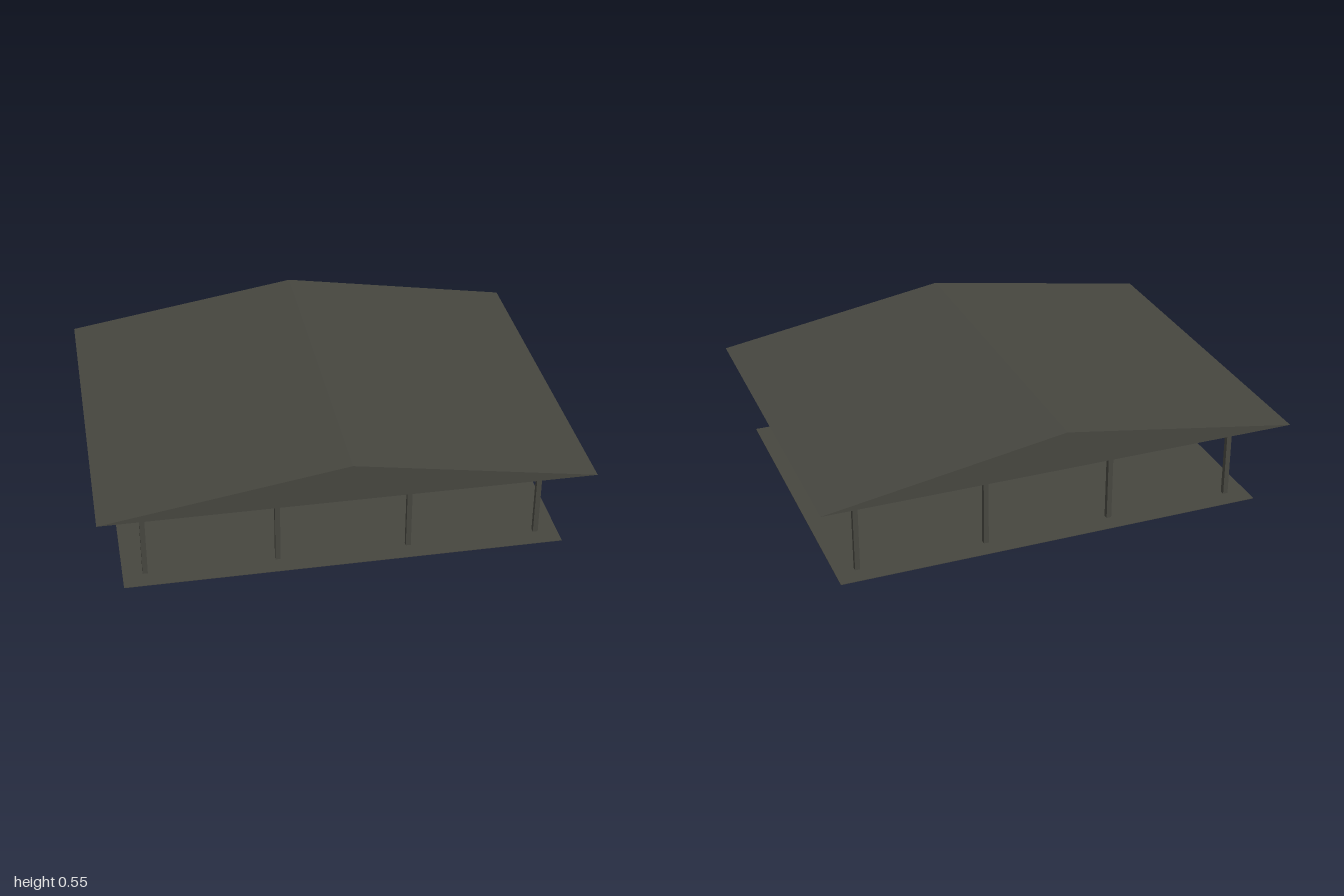
import * as THREE from 'three';

export function createModel() {
  const model = new THREE.Group();
  const bronze = new THREE.MeshStandardMaterial({ color: 0x46463f });
  bronze.name = 'dark bronze';

  const box = (name, w, h, d, x, y, z) => {
    const mesh = new THREE.Mesh(new THREE.BoxGeometry(w, h, d), bronze);
    mesh.name = name;
    mesh.position.set(x, y, z);
    model.add(mesh);
  };

  const columnsX = [-0.818, -0.273, 0.273, 0.818];
  const columnsZ = [-0.592, 0, 0.592];
  const postWidth = 0.021;
  const beamBottom = 0.357, ceilingBottom = 0.375, eaves = 0.385, ridge = 0.547;
  const beamHeight = ceilingBottom - beamBottom;
  const beamY = beamBottom + beamHeight / 2;

  // Thin floor sheet
  box('floor', 1.82, 0.002, 1.36, 0, 0.001, 0);

  // Square posts on a regular grid
  for (const x of columnsX) {
    for (const z of columnsZ) box('post', postWidth, beamBottom, postWidth, x, beamBottom / 2, z);
  }

  // Beams along and across the grid
  for (const z of columnsZ) box('longBeam', 1.636 + postWidth, beamHeight, postWidth, 0, beamY, z);
  for (const x of columnsX) box('crossBeam', postWidth, beamHeight, 1.184 + postWidth, x, beamY, 0);

  // Ceiling panel, set in a little from the eaves
  box('ceiling', 1.96, eaves - ceilingBottom, 1.51, 0, (eaves + ceilingBottom) / 2, 0);

  // Closed gable roof with its ridge running front to back
  const gable = new THREE.Shape();
  gable.moveTo(-1, eaves);
  gable.lineTo(1, eaves);
  gable.lineTo(0, ridge);
  gable.closePath();
  const roofGeometry = new THREE.ExtrudeGeometry(gable, { depth: 1.546, bevelEnabled: false });
  roofGeometry.translate(0, 0, -0.773);
  const roof = new THREE.Mesh(roofGeometry, bronze);
  roof.name = 'roof';
  model.add(roof);

  return model;
}
